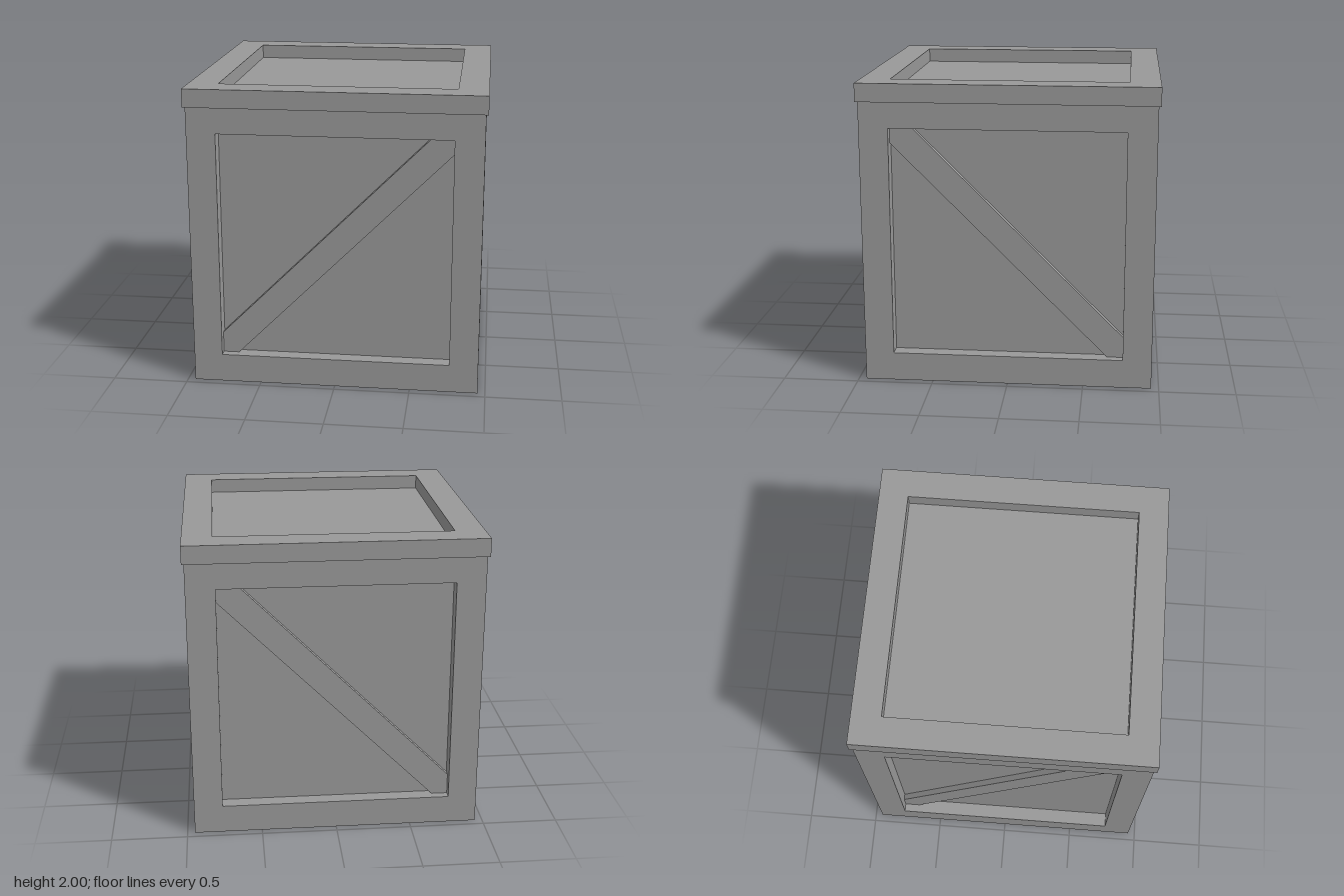
import * as THREE from 'three';

const HALF = 0.95, BODY_TOP = 1.88, RECESS = 0.095, CORE = HALF - RECESS;
const OPEN = 0.76, OPEN_LOW = 0.19, OPEN_HIGH = 1.71;
const LID = 0.965, LID_OPEN = 0.77, BRACE_DEPTH = 0.04;

const grey = new THREE.MeshStandardMaterial({ color: 0x999999 });
grey.name = 'crateGrey';

function polygon(points, Type = THREE.Shape) {
  return new Type(points.map(([x, y]) => new THREE.Vector2(x, y)));
}

function rect(x, y0, y1, Type) {
  return polygon([[-x, y0], [x, y0], [x, y1], [-x, y1]], Type);
}

function extrude(shape, depth) {
  return new THREE.ExtrudeGeometry(shape, { depth, bevelEnabled: false });
}

function part(name, geometry, y = 0, z = 0) {
  const mesh = new THREE.Mesh(geometry, grey);
  mesh.name = name;
  mesh.position.set(0, y, z);
  return mesh;
}

// Square wall frame, its outer ends mitred so neighbouring walls meet at the corners
function wallFrame() {
  const shape = rect(HALF, 0, BODY_TOP);
  shape.holes.push(rect(OPEN, OPEN_LOW, OPEN_HIGH, THREE.Path));
  const geometry = extrude(shape, RECESS);
  const p = geometry.attributes.position;
  for (let i = 0; i < p.count; i++) {
    if (p.getZ(i) < RECESS / 2) p.setX(i, THREE.MathUtils.clamp(p.getX(i), -CORE, CORE));
  }
  geometry.computeVertexNormals();
  return geometry;
}

// Diagonal board trimmed to the opening; slope is 1 or -1
function diagonalBrace(slope) {
  const outline = [
    [-OPEN, OPEN_LOW], [-0.655, OPEN_LOW], [OPEN, 1.605],
    [OPEN, OPEN_HIGH], [0.62, OPEN_HIGH], [-OPEN, 0.33],
  ];
  return extrude(polygon(outline.map(([x, y]) => [x * slope, y])), BRACE_DEPTH);
}

export function createModel() {
  const crate = new THREE.Group();
  crate.name = 'crate';

  // Inner box whose faces are the recessed panels
  crate.add(part('innerPanels', new THREE.BoxGeometry(CORE * 2, BODY_TOP, CORE * 2), BODY_TOP / 2));

  // Four sides; opposite braces mirror each other
  const frame = wallFrame();
  const sides = [['front', 1], ['left', -1], ['back', -1], ['right', 1]];
  sides.forEach(([name, slope], i) => {
    const side = new THREE.Group();
    side.name = name + 'Side';
    side.rotation.y = i * Math.PI / 2;
    side.add(part(name + 'Frame', frame, 0, CORE));
    side.add(part(name + 'Brace', diagonalBrace(slope), 0, CORE));
    crate.add(side);
  });

  // Overhanging lid rim around a sunken lid panel
  const rim = rect(LID, -LID, LID);
  rim.holes.push(rect(LID_OPEN, -LID_OPEN, LID_OPEN, THREE.Path));
  const rimGeometry = extrude(rim, 2 - BODY_TOP).rotateX(-Math.PI / 2);
  crate.add(part('lidRim', rimGeometry, BODY_TOP));
  const panelHeight = 2 - RECESS - BODY_TOP;
  crate.add(part('lidPanel',
    new THREE.BoxGeometry(LID_OPEN * 2, panelHeight, LID_OPEN * 2), BODY_TOP + panelHeight / 2));

  return crate;
}
